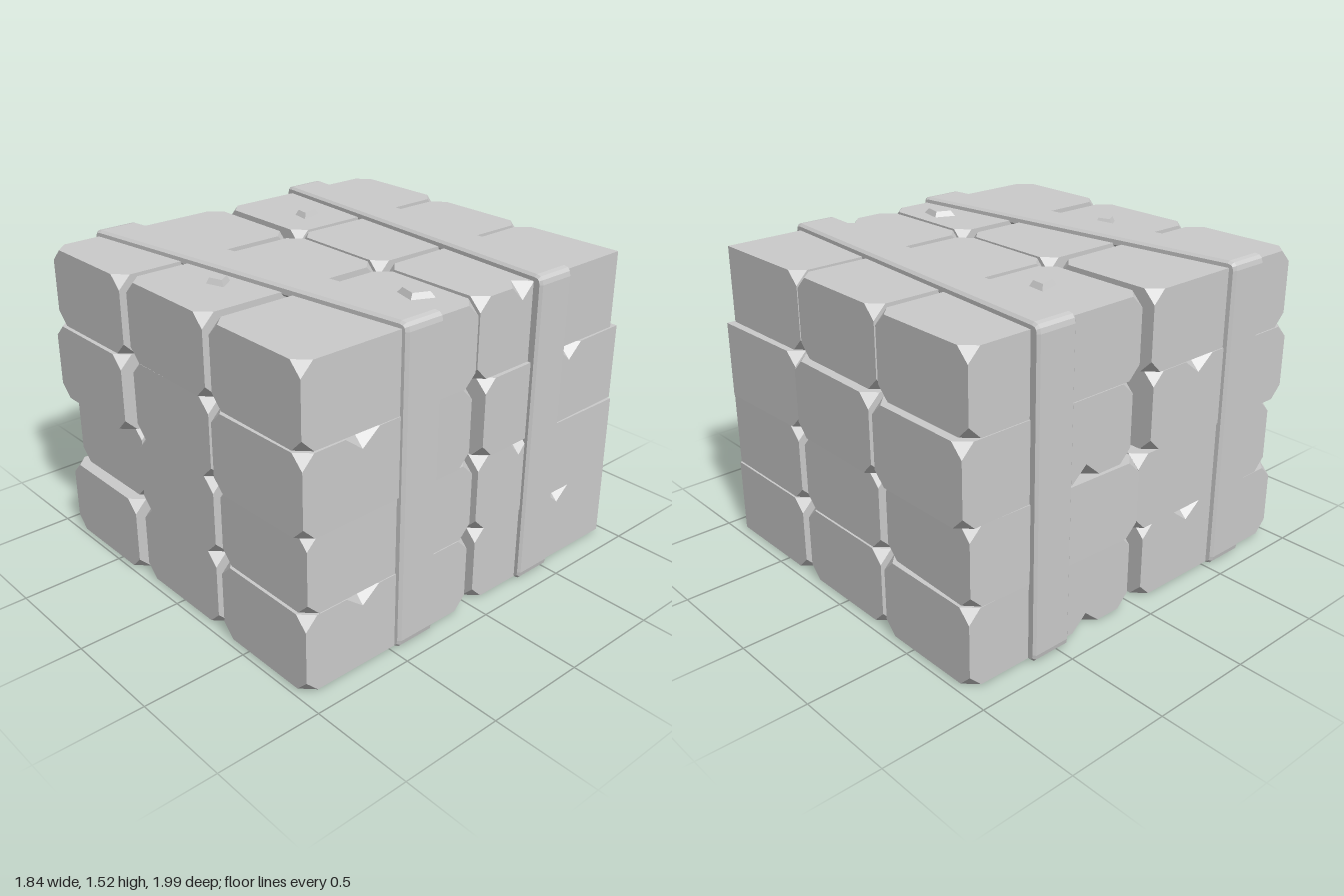
import * as THREE from 'three';
import { ConvexGeometry } from 'three/addons/geometries/ConvexGeometry.js';

const material = new THREE.MeshStandardMaterial({ color: 0xcccccc, flatShading: true });
const SIGNS = [-1, 1];

// Brick with clipped corners; notch = { x, y, z, w } chips the edge at side x, top/bottom y.
function brickGeometry(half, cut, notch, keepsCorner) {
  const positions = [];
  const addTriangle = (a, b, c, outward) => {
    const normal = b.clone().sub(a).cross(c.clone().sub(a));
    const corners = normal.dot(outward) > 0 ? [a, b, c] : [a, c, b];
    corners.forEach(p => positions.push(p.x, p.y, p.z));
  };
  const vec = p => new THREE.Vector3(...p);
  const depth = 0.07;
  const atEdge = p => notch && Math.abs(p.x - notch.x * half[0]) < 1e-6 && Math.abs(p.y - notch.y * half[1]) < 1e-6;
  const edgePoint = (z, dx = 0, dy = 0) =>
    vec([notch.x * (half[0] - dx), notch.y * (half[1] - dy), z]);

  // Six sides
  for (let a = 0; a < 3; a++) for (const s of SIGNS) {
    const u = (a + 1) % 3, v = (a + 2) % 3;
    const loop = [];
    for (const [su, sv] of [[1, 1], [-1, 1], [-1, -1], [1, -1]]) {
      const sign = [0, 0, 0];
      sign[a] = s; sign[u] = su; sign[v] = sv;
      const corner = sign.map((k, i) => k * half[i]);
      if (keepsCorner(sign)) { loop.push(vec(corner)); continue; }
      const onU = [...corner], onV = [...corner];
      onU[u] -= su * cut;
      onV[v] -= sv * cut;
      loop.push(...(su * sv > 0 ? [vec(onV), vec(onU)] : [vec(onU), vec(onV)]));
    }
    const outline = [];
    loop.forEach((p, i) => {
      const next = loop[(i + 1) % loop.length];
      outline.push(p);
      if (a < 2 && atEdge(p) && atEdge(next)) {
        const w = Math.sign(next.z - p.z) * notch.w;
        outline.push(edgePoint(notch.z - w),
          a === 0 ? edgePoint(notch.z, 0, depth) : edgePoint(notch.z, depth, 0),
          edgePoint(notch.z + w));
      }
    });
    const axes = 'xyz';
    const flat = outline.map(p => new THREE.Vector2(p[axes[u]], p[axes[v]]));
    const outward = vec([0, 1, 2].map(i => (i === a ? s : 0)));
    for (const [i, j, k] of THREE.ShapeUtils.triangulateShape(flat, []))
      addTriangle(outline[i], outline[j], outline[k], outward);
  }
  // Clipped corners
  for (const x of SIGNS) for (const y of SIGNS) for (const z of SIGNS) {
    const sign = [x, y, z];
    if (keepsCorner(sign)) continue;
    const points = [0, 1, 2].map(a => vec(sign.map((k, i) => k * (half[i] - (i === a ? cut : 0)))));
    addTriangle(...points, vec(sign));
  }
  // Inside of the chipped notch
  if (notch) for (const s of SIGNS)
    addTriangle(edgePoint(notch.z + s * notch.w), edgePoint(notch.z, 0, depth),
      edgePoint(notch.z, depth, 0), vec([notch.x, notch.y, 0]));

  const geometry = new THREE.BufferGeometry();
  geometry.setAttribute('position', new THREE.Float32BufferAttribute(positions, 3));
  geometry.computeVertexNormals();
  return geometry;
}

// Strap: a rounded ring around the stack, skewed along x.
function strapGeometry(slope) {
  const ring = (Kind, x, y0, y1, r) => {
    const path = new Kind();
    path.moveTo(-x + r, y0);
    path.lineTo(x - r, y0); path.quadraticCurveTo(x, y0, x, y0 + r);
    path.lineTo(x, y1 - r); path.quadraticCurveTo(x, y1, x - r, y1);
    path.lineTo(-x + r, y1); path.quadraticCurveTo(-x, y1, -x, y1 - r);
    path.lineTo(-x, y0 + r); path.quadraticCurveTo(-x, y0, -x + r, y0);
    return path;
  };
  const shape = ring(THREE.Shape, 0.922, 0, 1.52, 0.04);
  shape.holes.push(ring(THREE.Path, 0.86, 0.03, 1.47, 0.02));
  const bevel = 0.012, width = 0.205;
  const geometry = new THREE.ExtrudeGeometry(shape, {
    depth: width - 2 * bevel, curveSegments: 3, bevelEnabled: true,
    bevelSize: bevel, bevelThickness: bevel, bevelOffset: -bevel, bevelSegments: 1,
  });
  geometry.translate(0, 0, bevel - width / 2);
  const p = geometry.attributes.position;
  for (let i = 0; i < p.count; i++) p.setZ(i, p.getZ(i) + slope * p.getX(i));
  geometry.computeVertexNormals();
  return geometry;
}

export function createModel() {
  const group = new THREE.Group();
  const add = (name, geometry, x = 0, y = 0, z = 0, yaw = 0) => {
    const mesh = new THREE.Mesh(geometry, material);
    mesh.name = name;
    mesh.position.set(x, y, z);
    mesh.rotation.y = yaw;
    group.add(mesh);
  };

  // Bricks: per stack, four layers from the ground up as [x, z, yaw]
  const stacks = {
    frontRightBrick: [[-0.61, 0.515, 0], [-0.61, 0.455, 0.006], [-0.615, 0.525, 0], [-0.61, 0.505, 0.004]],
    frontMiddleBrick: [[0, 0.495, 0], [0.005, 0.495, 0], [0, 0.495, 0], [-0.005, 0.495, -0.008]],
    frontLeftBrick: [[0.615, 0.505, 0], [0.61, 0.49, 0], [0.62, 0.525, 0.015], [0.615, 0.51, -0.004]],
    backRightBrick: [[-0.6, -0.5, 0], [-0.61, -0.48, -0.03], [-0.6, -0.525, 0], [-0.595, -0.485, 0]],
    backMiddleBrick: [[0, -0.49, 0], [0.005, -0.48, 0], [0, -0.505, -0.015], [0, -0.46, -0.012]],
    backLeftBrick: [[0.61, -0.49, 0], [0.615, -0.48, 0], [0.61, -0.485, 0.025], [0.595, -0.45, 0.012]],
  };
  // Chipped edges, keyed by stack and layer
  const frontChip = { x: 1, y: 1, z: 0.16, w: 0.09 };
  const backChip = { x: 1, y: 1, z: -0.11, w: 0.08 };
  const sideChip = { x: -1, y: 1, z: -0.17, w: 0.09 };
  const lowChip = { x: -1, y: -1, z: 0.2, w: 0.08 };
  const chips = {
    frontLeftBrick: { 0: frontChip, 2: frontChip },
    backLeftBrick: { 0: backChip, 1: { x: 1, y: 1, z: 0.2, w: 0.06 }, 2: backChip, 3: { x: 1, y: 1, z: 0.2, w: 0.07 } },
    frontRightBrick: { 0: sideChip, 2: sideChip },
    backRightBrick: { 0: lowChip, 2: lowChip },
  };
  const layerHeight = 0.37;
  for (const [name, layers] of Object.entries(stacks)) {
    const keepsCorner = ([x, , z]) => name === 'backLeftBrick' && x > 0 && z < 0;
    layers.forEach(([x, z, yaw], i) => {
      const geometry = brickGeometry([0.28, layerHeight / 2, 0.468], 0.06, chips[name]?.[i], keepsCorner);
      add(name, geometry, x, 0.01 + (i + 0.5) * layerHeight, z, yaw);
    });
  }

  // Straps
  add('frontStrap', strapGeometry(-0.141), 0, 0, 0.5);
  add('backStrap', strapGeometry(0.069), 0, 0, -0.482);

  // Small raised chips on the top, from their ground corners [x, z]
  const studs = [
    [[-0.59, -0.31], [-0.49, -0.3], [-0.455, -0.175], [-0.555, -0.19]],
    [[0.625, 0.105], [0.75, 0.13], [0.7, 0.24], [0.58, 0.21]],
    [[-0.07, 0.66], [0.02, 0.63], [0.075, 0.71], [-0.02, 0.74]],
  ];
  for (const corners of studs) {
    const cx = corners.reduce((sum, c) => sum + c[0], 0) / 4;
    const cz = corners.reduce((sum, c) => sum + c[1], 0) / 4;
    const points = corners.flatMap(([x, z]) => [
      new THREE.Vector3(x - cx, -0.01, z - cz),
      new THREE.Vector3((x - cx) * 0.65, 0.025, (z - cz) * 0.65),
    ]);
    add('topStud', new ConvexGeometry(points), cx, 1.49, cz);
  }
  return group;
}
